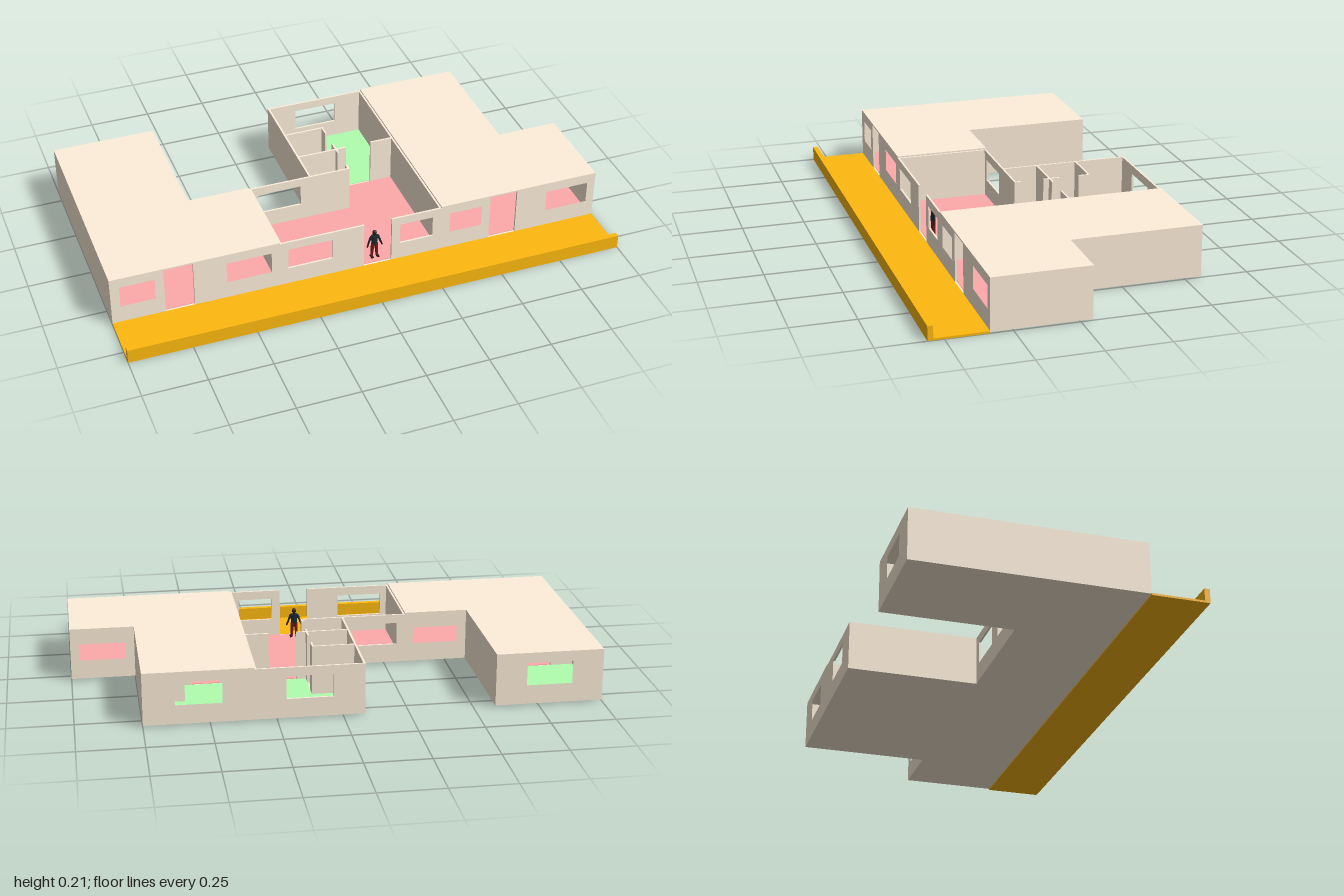
import * as THREE from 'three';

const mat = (color) => new THREE.MeshStandardMaterial({ color, flatShading: true });
const T = 0.008;              // wall thickness
const BASE = 0.005, FLOOR = 0.008, TOP = 0.205;
const HALF = 1 / 3;           // half the width of one flat
const FRONT = 0.335, MID = -0.045, BACK = -0.563, LEG = -0.083;

export function createModel() {
  const model = new THREE.Group();
  model.name = 'apartmentRow';
  const wallMat = mat(0xffefdb), gold = mat(0xffb90f);
  const pink = mat(0xffaaaa), green = mat(0xb0ffad), paleGreen = mat(0xe0ffd6), grey = mat(0xb8b8ba);

  const add = (parent, name, geometry, material) => {
    const mesh = new THREE.Mesh(geometry, material);
    mesh.name = name;
    parent.add(mesh);
    return mesh;
  };
  const box = (parent, name, material, x0, x1, y0, y1, z0, z1) =>
    add(parent, name, new THREE.BoxGeometry(x1 - x0, y1 - y0, z1 - z0), material)
      .position.set((x0 + x1) / 2, (y0 + y1) / 2, (z0 + z1) / 2);

  // One L-shaped flat; m = -1 mirrors its plan
  function flat(name, cx, m, roofed) {
    const g = new THREE.Group();
    g.name = name;
    g.position.x = cx;
    model.add(g);

    // Horizontal plate from a plan outline of [x, z] points
    const plate = (part, pts, y, h, material) => {
      const shape = new THREE.Shape(pts.map(([x, z]) => new THREE.Vector2(x * m, -z)));
      const geo = new THREE.ExtrudeGeometry(shape, { depth: h, bevelEnabled: false });
      add(g, part, geo.rotateX(-Math.PI / 2).translate(0, y, 0), material);
    };
    const rect = (x0, x1, z0, z1) => [[x0, z0], [x1, z0], [x1, z1], [x0, z1]];

    // Wall along x at z..z+T, with window spans cut out
    const wallX = (part, x0, x1, z, windows = []) => {
      const toShape = (C, a, b, y0, y1) => new C([[a, y0], [b, y0], [b, y1], [a, y1]]
        .map(([x, y]) => new THREE.Vector2(x * m, y)));
      const shape = toShape(THREE.Shape, x0, x1, BASE, TOP);
      for (const [a, b] of windows) shape.holes.push(toShape(THREE.Path, a, b, 0.08, 0.17));
      const geo = new THREE.ExtrudeGeometry(shape, { depth: T, bevelEnabled: false });
      add(g, part, geo.translate(0, 0, z), wallMat);
    };
    // Plain wall along z at x..x+T
    const wallZ = (part, x, z0, z1) => plate(part, rect(x, x + T, z0, z1), BASE, TOP - BASE, wallMat);

    const outline = [[-HALF, FRONT], [HALF, FRONT], [HALF, BACK], [LEG, BACK], [LEG, MID], [-HALF, MID]];
    plate('baseSlab', outline, BASE, FLOOR - BASE, wallMat);
    if (roofed) plate('roof', outline, TOP, 0.006, wallMat);

    // Room floors
    plate('livingFloor', [[-HALF + T, FRONT - T], [HALF - T, FRONT - T], [HALF - T, -0.181],
      [0.089, -0.181], [0.089, MID + T], [-HALF + T, MID + T]], FLOOR, 0.002, pink);
    plate('bedroomFloor', [[LEG + T, BACK + T], [HALF - T, BACK + T], [HALF - T, -0.189],
      [0.089, -0.189], [0.089, -0.355], [LEG + T, -0.355]], FLOOR, 0.002, green);
    plate('bathroomFloor', rect(LEG + T, 0.081, -0.347, -0.189), FLOOR, 0.002, grey);
    plate('storeFloor', rect(LEG + T, 0.081, -0.181, MID), FLOOR, 0.002, paleGreen);

    // Outer walls, with a full-height gap for the front door
    wallX('frontWall', -HALF, 0.01, FRONT - T, [[-0.3, -0.12]]);
    wallX('frontWall', 0.125, HALF, FRONT - T, [[0.16, 0.297]]);
    wallX('rearWall', -HALF, LEG, MID, [[-0.3, -0.12]]);
    wallX('bedroomWall', LEG, HALF, BACK, [[0.037, 0.214]]);
    wallZ('sideWall', -HALF, MID + T, FRONT - T);
    wallZ('sideWall', HALF - T, BACK + T, FRONT - T);
    wallZ('legWall', LEG, BACK + T, MID + T);

    // Partitions, with full-height door gaps
    wallX('partition', LEG + T, 0.081, MID);
    wallX('partition', LEG + T, 0.127, -0.189);
    wallX('partition', 0.235, HALF - T, -0.189);
    wallX('partition', LEG + T, 0.081, -0.355);
    for (const [z0, z1] of [[-0.355, -0.307], [-0.227, -0.189], [-0.181, -0.158], [-0.067, MID + T]])
      wallZ('partition', 0.081, z0, z1);
  }
  flat('rightFlat', -2 * HALF, -1, true);
  flat('middleFlat', 0, 1, false);
  flat('leftFlat', 2 * HALF, -1, true);

  // Access gallery with its parapet
  box(model, 'walkway', gold, -1, 1, 0, 0.008, FRONT, 0.54);
  box(model, 'parapet', gold, -1, 1, 0, 0.057, 0.54, 0.561);

  // Small standing figure at the middle door
  const person = new THREE.Group();
  person.name = 'person';
  person.position.set(0.07, 0.01, 0.292);
  model.add(person);
  const dark = mat(0x1c2a33), skin = mat(0x2a1c18), red = mat(0x7a1c1c);
  const limb = (name, a, b, r0, r1, material) => {
    const from = new THREE.Vector3(...a), dir = new THREE.Vector3(...b).sub(from);
    const mesh = add(person, name, new THREE.CylinderGeometry(r1, r0, dir.length(), 8), material);
    mesh.position.copy(from).addScaledVector(dir, 0.5);
    mesh.quaternion.setFromUnitVectors(new THREE.Vector3(0, 1, 0), dir.normalize());
  };
  const head = add(person, 'head', new THREE.SphereGeometry(0.009, 10, 8), skin);
  head.position.y = 0.115;
  head.scale.y = 1.2;
  limb('neck', [0, 0.098, 0], [0, 0.108, 0], 0.004, 0.004, skin);
  const torso = add(person, 'torso', new THREE.CylinderGeometry(0.016, 0.011, 0.042, 8), dark);
  torso.position.y = 0.08;
  torso.scale.z = 0.6;
  for (const s of [-1, 1]) {
    limb('upperArm', [s * 0.014, 0.098, 0], [s * 0.023, 0.075, 0], 0.005, 0.004, dark);
    limb('forearm', [s * 0.023, 0.075, 0], [s * 0.031, 0.052, 0.004], 0.004, 0.003, skin);
    limb('leg', [s * 0.007, 0.062, 0], [s * 0.011, 0.003, 0], 0.008, 0.005, red);
    box(person, 'foot', skin, s * 0.012 - 0.005, s * 0.012 + 0.005, 0, 0.005, -0.006, 0.014);
  }
  return model;
}
